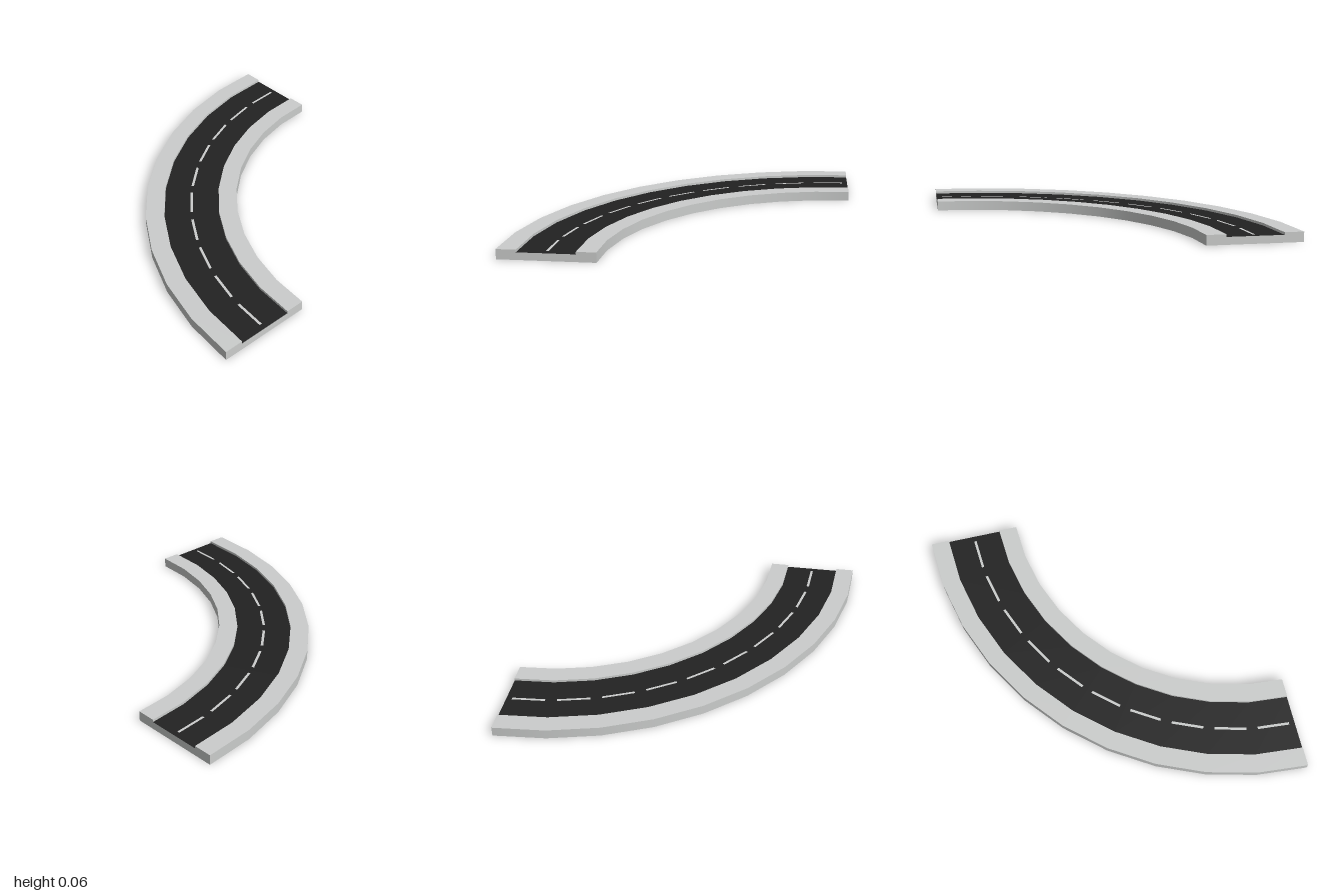
import * as THREE from 'three';
import { mergeGeometries } from 'three/addons/utils/BufferGeometryUtils.js';

const SEGMENTS = 10;
const STEP = Math.PI / 2 / SEGMENTS;
const TOP = 0.06, FLOOR = 0.045;
const INNER = 1.43, OUTER = 2, ROAD_IN = 1.545, ROAD_OUT = 1.885;

// Sweep one profile edge [r, y] -> [r, y] around the bend centre at (1, 1)
function strip([r0, y0], [r1, y1], from = 0, to = Math.PI / 2, segments = SEGMENTS) {
  const positions = [], normals = [], index = [];
  const length = Math.hypot(r1 - r0, y1 - y0);
  const nr = (y0 - y1) / length, ny = (r1 - r0) / length;
  for (let i = 0; i <= segments; i++) {
    const a = from + (to - from) * i / segments;
    const s = Math.sin(a), c = Math.cos(a);
    for (const [r, y] of [[r0, y0], [r1, y1]]) {
      positions.push(1 - r * s, y, 1 - r * c);
      normals.push(-nr * s, ny, -nr * c);
    }
    if (i < segments) {
      const k = i * 2;
      index.push(k, k + 1, k + 2, k + 1, k + 3, k + 2);
    }
  }
  const geometry = new THREE.BufferGeometry();
  geometry.setAttribute('position', new THREE.Float32BufferAttribute(positions, 3));
  geometry.setAttribute('normal', new THREE.Float32BufferAttribute(normals, 3));
  geometry.setIndex(index);
  return geometry;
}

export function createModel() {
  const group = new THREE.Group();
  const concrete = new THREE.MeshStandardMaterial({ color: 0xcbcdcc });
  concrete.name = 'light grey concrete';
  const asphalt = new THREE.MeshStandardMaterial({ color: 0x222222 });
  asphalt.name = 'dark asphalt';

  const add = (name, geometry, material) => {
    const mesh = new THREE.Mesh(geometry, material);
    mesh.name = name;
    group.add(mesh);
  };

  // Slab profile, clockwise; edge 3 is the sunken road surface
  const profile = [
    [INNER, 0], [INNER, TOP], [ROAD_IN, TOP], [ROAD_IN, FLOOR],
    [ROAD_OUT, FLOOR], [ROAD_OUT, TOP], [OUTER, TOP], [OUTER, 0],
  ];
  const edges = profile.map((p, i) => strip(p, profile[(i + 1) % profile.length]));
  const [road] = edges.splice(3, 1);
  add('kerbsAndBase', mergeGeometries(edges), concrete);
  add('roadSurface', road, asphalt);

  // Flat ends of the slab
  const endShape = sign => new THREE.ShapeGeometry(
    new THREE.Shape(profile.map(([r, y]) => new THREE.Vector2(sign * (1 - r), y))));
  add('frontEnd', endShape(1).translate(0, 0, 1), concrete);
  add('sideEnd', endShape(-1).rotateY(Math.PI / 2).translate(1, 0, 0), concrete);

  // Dashed centre line, one straight dash per road segment
  const dashes = [];
  for (let i = 0; i < SEGMENTS; i++) {
    dashes.push(strip([1.707, FLOOR + 0.002], [1.723, FLOOR + 0.002],
      (i + 0.13) * STEP, (i + 0.87) * STEP, 1));
  }
  add('centreLine', mergeGeometries(dashes), concrete);

  return group;
}
